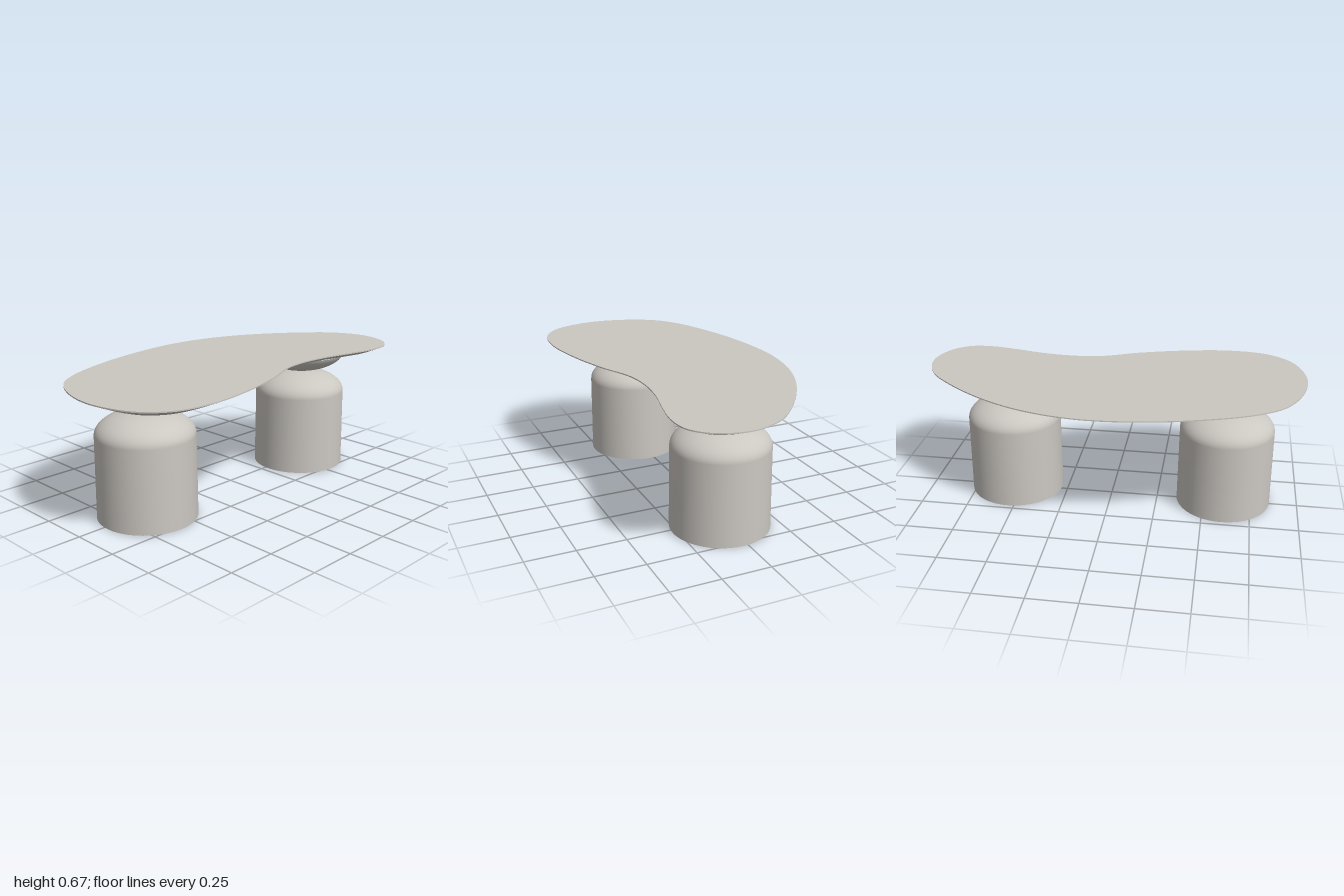
import * as THREE from 'three';

const stone = new THREE.MeshStandardMaterial({ color: 0xcbc7c1 });
stone.name = 'warm grey stone';

// Kidney outline of the table top as [x, z], clockwise seen from above
const OUTLINE = [
  [0, -0.508], [0.2, -0.492], [0.4, -0.438], [0.6, -0.34], [0.8, -0.195], [0.94, -0.05],
  [0.998, 0.12], [0.955, 0.28], [0.865, 0.36], [0.74, 0.375], [0.6, 0.352], [0.42, 0.312],
  [0.25, 0.298], [0.1, 0.316], [-0.1, 0.397], [-0.35, 0.468], [-0.6, 0.503], [-0.8, 0.474],
  [-0.93, 0.37], [-0.998, 0.15], [-0.968, -0.06], [-0.88, -0.23], [-0.77, -0.317],
  [-0.6, -0.393], [-0.3, -0.474],
];
const SEGMENTS = 160;
const curve = new THREE.CatmullRomCurve3(
  OUTLINE.map(([x, z]) => new THREE.Vector3(x, 0, z)), true, 'centripetal');

// Outline moved inwards by a distance, as Vector2(x, z)
function ring(inset) {
  return Array.from({ length: SEGMENTS }, (_, i) => {
    const p = curve.getPointAt(i / SEGMENTS);
    const t = curve.getTangentAt(i / SEGMENTS);
    return new THREE.Vector2(p.x - t.z * inset, p.z + t.x * inset);
  });
}

// Closed band between an upper and a lower ring
function band(upper, yUpper, lower, yLower) {
  const positions = [], index = [];
  for (let i = 0; i < SEGMENTS; i++) {
    positions.push(upper[i].x, yUpper, upper[i].y, lower[i].x, yLower, lower[i].y);
    const a = 2 * i, b = 2 * ((i + 1) % SEGMENTS);
    index.push(a, b, a + 1, b, b + 1, a + 1);
  }
  const geometry = new THREE.BufferGeometry();
  geometry.setAttribute('position', new THREE.Float32BufferAttribute(positions, 3));
  geometry.setIndex(index);
  geometry.computeVertexNormals();
  return geometry;
}

function addMesh(parent, name, geometry) {
  const mesh = new THREE.Mesh(geometry, stone);
  mesh.name = name;
  parent.add(mesh);
  return mesh;
}

function createTop() {
  const top = new THREE.Group();
  top.name = 'tableTop';
  const outer = ring(0), inner = ring(0.077);
  const face = new THREE.Shape(outer.map(p => new THREE.Vector2(p.x, -p.y)));
  addMesh(top, 'topSurface', new THREE.ShapeGeometry(face).rotateX(-Math.PI / 2)).position.y = 0.674;
  addMesh(top, 'thinEdge', band(outer, 0.674, outer, 0.668));
  addMesh(top, 'undercutBevel', band(outer, 0.668, inner, 0.635));
  const under = new THREE.Shape(inner);
  addMesh(top, 'underside', new THREE.ShapeGeometry(under).rotateX(Math.PI / 2)).position.y = 0.635;
  return top;
}

function createLeg(x) {
  const leg = new THREE.Group();
  leg.name = x > 0 ? 'leftLeg' : 'rightLeg';
  leg.position.set(x, 0, 0.025);

  // Slightly tapered column with a domed head
  const column = [new THREE.Vector2(0.25, 0), new THREE.Vector2(0.248, 0.21)];
  for (let i = 0; i <= 16; i++) {
    const a = (i / 16) * Math.PI / 2;
    column.push(new THREE.Vector2(0.246 * Math.cos(a), 0.42 + 0.121 * Math.sin(a)));
  }
  addMesh(leg, 'column', new THREE.LatheGeometry(column, 64));
  addMesh(leg, 'foot', new THREE.CircleGeometry(0.25, 64).rotateX(Math.PI / 2));

  // Shallow bowl carrying the top
  const bowl = [];
  for (let i = 0; i <= 16; i++) {
    const a = (i / 16) * 1.39;
    bowl.push(new THREE.Vector2(0.248 * Math.sin(a), 0.66 - 0.121 * Math.cos(a)));
  }
  addMesh(leg, 'bowl', new THREE.LatheGeometry(bowl, 64));
  return leg;
}

export function createModel() {
  const table = new THREE.Group();
  table.name = 'table';
  table.add(createTop(), createLeg(-0.605), createLeg(0.533));
  return table;
}
